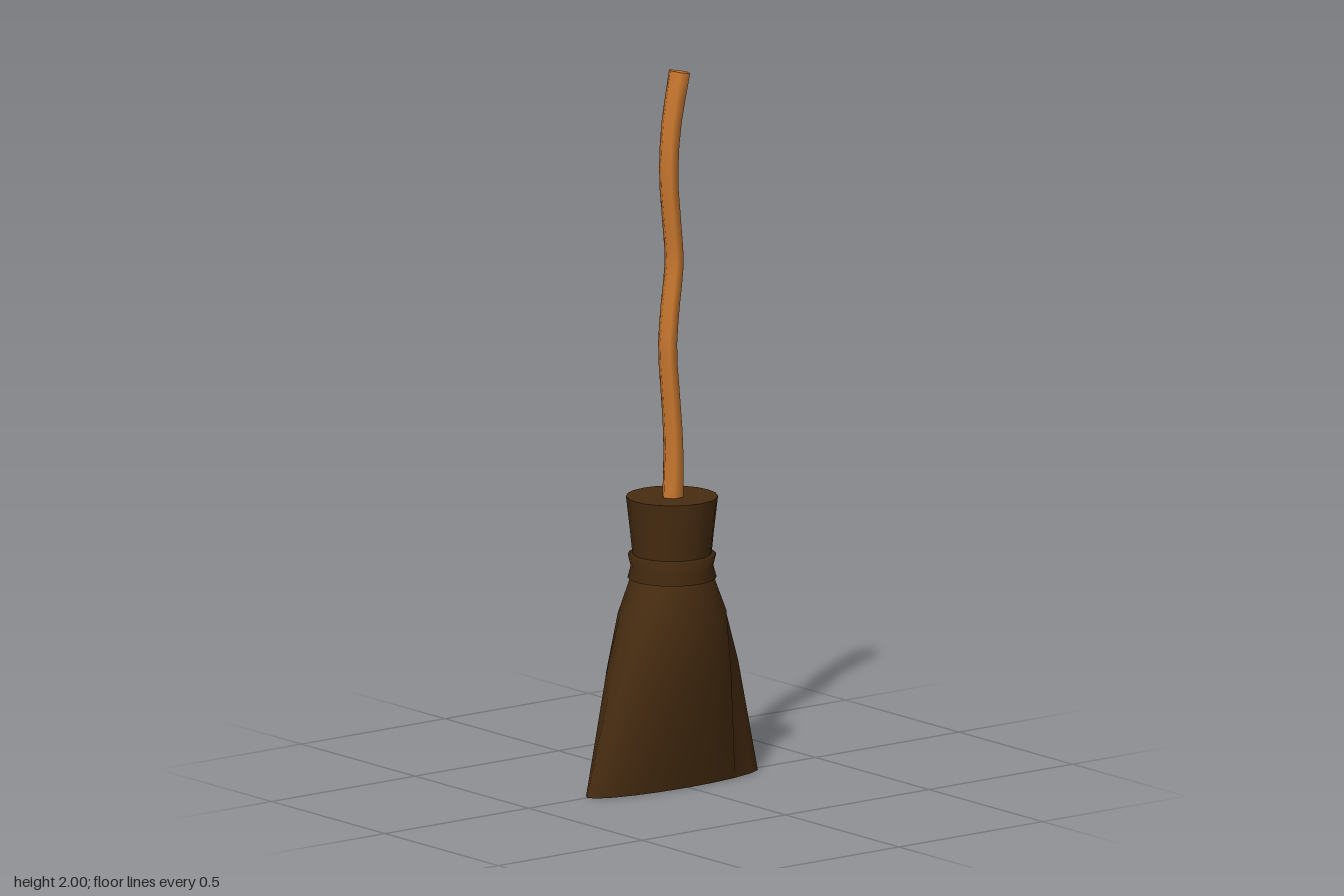
import * as THREE from 'three';

// Closed tube through rings listed bottom to top: { y, rx, rz, x, z, slope }
// move(point, ringIndex, sideIndex) may adjust single corners.
function loft(rings, sides, { capBottom = false, capTop = false, move } = {}) {
  const points = [], index = [];
  rings.forEach(({ y, rx, rz = rx, x = 0, z = 0, slope = 0 }, i) => {
    const len = Math.hypot(1, slope);
    for (let j = 0; j < sides; j++) {
      const a = (j / sides) * Math.PI * 2;
      const d = rz * Math.cos(a);
      const p = new THREE.Vector3(x + rx * Math.sin(a), y - (d * slope) / len, z + d / len);
      if (move) move(p, i, j);
      points.push(p);
    }
  });
  for (let i = 0; i < rings.length - 1; i++) {
    for (let j = 0; j < sides; j++) {
      const k = (j + 1) % sides;
      const a = i * sides + j, b = i * sides + k;
      index.push(a, b, b + sides, a, b + sides, a + sides);
    }
  }
  // Caps use their own corners so that their rims stay sharp
  const cap = (ring, up) => {
    const start = points.length;
    for (let j = 0; j < sides; j++) points.push(points[ring * sides + j].clone());
    for (let j = 1; j < sides - 1; j++) {
      if (up) index.push(start, start + j, start + j + 1);
      else index.push(start, start + j + 1, start + j);
    }
  };
  if (capBottom) cap(0, false);
  if (capTop) cap(rings.length - 1, true);
  const geometry = new THREE.BufferGeometry().setFromPoints(points);
  geometry.setIndex(index);
  geometry.computeVertexNormals();
  return geometry;
}

export function createModel() {
  const broom = new THREE.Group();
  broom.name = 'broom';

  const wood = new THREE.MeshStandardMaterial({ color: 0xcd7a30 });
  wood.name = 'orange wood';
  const straw = new THREE.MeshStandardMaterial({ color: 0x472c11 });
  straw.name = 'dark straw';

  const add = (name, geometry, material) => {
    const mesh = new THREE.Mesh(geometry, material);
    mesh.name = name;
    broom.add(mesh);
  };

  // Crooked six-sided handle, bending only forwards and backwards
  const bend = new THREE.CatmullRomCurve3(
    [[0.78, 0.003], [0.95, 0.001], [1.08, 0.01], [1.22, 0.021], [1.34, 0.012], [1.46, -0.002],
      [1.57, 0.006], [1.7, 0.017], [1.84, 0.009], [1.993, -0.021]]
      .map(([y, z]) => new THREE.Vector3(0.007, y, z)));
  const steps = 20;
  const handleRings = [];
  for (let i = 0; i <= steps; i++) {
    const p = bend.getPoint(i / steps);
    const t = bend.getTangent(i / steps);
    const y01 = i / steps;
    const rz = 0.025 + 0.008 * Math.pow(Math.abs(2 * y01 - 1), 4);
    handleRings.push({ y: p.y, x: p.x, z: p.z, rx: 0.03, rz, slope: t.z / t.y });
  }
  add('handle', loft(handleRings, 6, { capBottom: true, capTop: true }), wood);

  // Flattened bristles, with a dent in the back
  const bristleRings = [
    { y: 0, rx: 0.072, rz: 0.296 },
    { y: 0.32, rx: 0.129, rz: 0.21 },
    { y: 0.48, rx: 0.129, rz: 0.16 },
    { y: 0.58, rx: 0.115, rz: 0.113 },
  ];
  const dent = (p, ring, side) => {
    if (ring === 1 && side === 8) p.set(0.052, p.y, -0.16);
  };
  add('bristles', loft(bristleRings, 20, { capBottom: true, move: dent }), straw);

  // Binding around the neck
  add('binding', loft([
    { y: 0.576, rx: 0.112 },
    { y: 0.578, rx: 0.122 },
    { y: 0.61, rx: 0.113 },
    { y: 0.643, rx: 0.121 },
    { y: 0.645, rx: 0.108 },
  ], 20), straw);

  // Flared collar above the binding
  add('collar', loft([
    { y: 0.64, rx: 0.108 },
    { y: 0.7, rx: 0.114 },
    { y: 0.805, rx: 0.126 },
  ], 20, { capTop: true }), straw);

  return broom;
}
